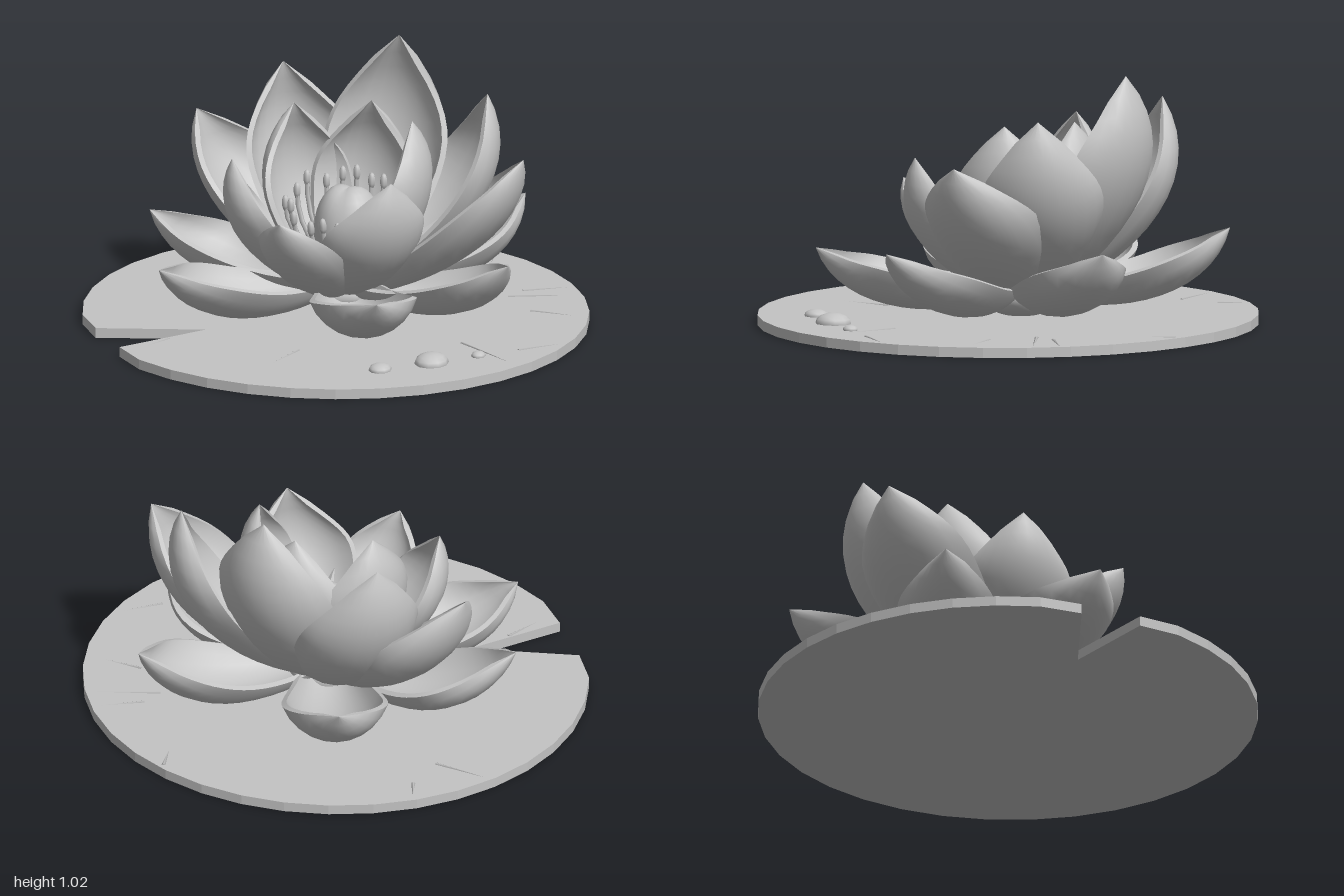
import * as THREE from 'three';
import { mergeGeometries } from 'three/addons/utils/BufferGeometryUtils.js';

const V = (x, y, z) => new THREE.Vector3(x, y, z);
const grey = new THREE.MeshStandardMaterial({ color: 0xc4c4c4 });
grey.name = 'stone grey';

function add(parent, name, geometry) {
  const mesh = new THREE.Mesh(geometry, grey);
  mesh.name = name;
  parent.add(mesh);
  return mesh;
}

// Smooth surface patch through fn(u, v), with u and v from 0 to 1
function patch(nu, nv, fn) {
  const pos = [], index = [];
  for (let i = 0; i <= nu; i++) for (let j = 0; j <= nv; j++) {
    pos.push(...fn(i / nu, j / nv).toArray());
    if (i < nu && j < nv) {
      const a = i * (nv + 1) + j, b = a + nv + 1;
      index.push(a, a + 1, b, a + 1, b + 1, b);
    }
  }
  const g = new THREE.BufferGeometry();
  g.setAttribute('position', new THREE.Float32BufferAttribute(pos, 3));
  g.setIndex(index);
  g.computeVertexNormals();
  return g;
}

// Cupped, pointed petal: a bowed spine from the flower's heart to the tip;
// sway moves the middle of the petal along z
const heart = V(0, 0.1, -0.06);
function petalGeometry(tip, halfWidth, bow, cup, baseRadius, sway) {
  const radial = V(tip.x - heart.x, 0, tip.z - heart.z).normalize();
  const base = heart.clone().addScaledVector(radial, baseRadius);
  const side = radial.clone().cross(V(0, 1, 0));
  const out = tip.clone().sub(base).cross(side).normalize();
  const ctrl = (f, b) => base.clone().lerp(tip, f).addScaledVector(out, b).add(V(0, 0, sway));
  const spine = new THREE.CubicBezierCurve3(base, ctrl(0.33, bow), ctrl(0.8, bow * 1.25), tip);
  const thick = 0.022;
  // s runs across from -1 to 1, d goes from the outer to the inner skin
  const point = (t, s, d) => {
    const inward = side.clone().cross(spine.getTangent(t)).normalize();
    const w = t > 0.999 ? 0 : halfWidth * Math.pow(Math.sin(Math.PI * (0.15 + 0.85 * Math.pow(t, 1.3))), 0.68);
    const k = d * thick;
    const r = w / Math.sin(cup), a = s * cup, inner = Math.max(r - k, 0);
    return spine.getPoint(t)
      .addScaledVector(side, inner * Math.sin(a))
      .addScaledVector(inward, r - inner * Math.cos(a));
  };
  return mergeGeometries([
    patch(14, 10, (t, v) => point(t, 2 * v - 1, 1)),
    patch(14, 10, (t, v) => point(t, 1 - 2 * v, 0)),
    patch(14, 1, (t, v) => point(t, 1, 1 - v)),
    patch(14, 1, (t, v) => point(t, -1, v)),
  ]);
}

function createPad() {
  const pad = new THREE.Group();
  pad.name = 'lilyPad';
  // Disc with a wedge-shaped notch
  const shape = new THREE.Shape();
  shape.moveTo(-0.35, -0.44);
  const from = 139.7, to = 484.5, n = 34;
  for (let i = 0; i <= n; i++) {
    const a = THREE.MathUtils.degToRad(from + (to - from) * i / n);
    const r = i === 0 || i === n ? 0.975 : 1;
    shape.lineTo(r * Math.cos(a), -r * 0.98 * Math.sin(a));
  }
  shape.closePath();
  const disc = new THREE.ExtrudeGeometry(shape, { depth: 0.04, bevelEnabled: false });
  add(pad, 'padDisc', disc.rotateX(-Math.PI / 2));

  // Fine creases: x, z of the inner end, then of the outer end
  const creases = [
    [0.09, 0.5, 0.07, 0.73], [0.86, 0.11, 0.97, -0.03], [0.52, -0.47, 0.75, -0.6],
    [0.54, -0.56, 0.68, -0.68], [0.62, 0.13, 0.89, 0.26], [0.23, -0.93, 0.27, -0.82],
    [-0.68, -0.37, -0.9, -0.36], [-0.68, -0.54, -0.73, -0.63], [-0.43, 0.6, -0.47, 0.74],
    [0.68, -0.35, 0.85, -0.37],
  ];
  for (const [x1, z1, x2, z2] of creases) {
    const g = new THREE.ConeGeometry(0.008, Math.hypot(x2 - x1, z2 - z1), 4);
    g.rotateZ(-Math.PI / 2).scale(1, 0.6, 1);
    const m = add(pad, 'padCrease', g);
    m.position.set((x1 + x2) / 2, 0.04, (z1 + z2) / 2);
    m.rotation.y = -Math.atan2(z2 - z1, x2 - x1);
  }

  // Water drops
  for (const [x, z, r, h] of [[0.63, 0.41, 0.067, 0.04], [0.49, 0.58, 0.045, 0.025], [0.755, 0.25, 0.028, 0.018]]) {
    const m = add(pad, 'waterDrop', new THREE.SphereGeometry(1, 10, 8).scale(r, h, r * 1.1));
    m.position.set(x, 0.043, z);
  }
  return pad;
}

function createCentre() {
  const centre = new THREE.Group();
  centre.name = 'flowerCentre';
  // Base that joins the petals to the pad
  add(centre, 'flowerBase', new THREE.SphereGeometry(1, 16, 10).scale(0.16, 0.09, 0.16)).position.set(0, 0.12, -0.06);

  // Seed pod with a cleft at its back
  const pod = new THREE.SphereGeometry(1, 24, 16).scale(0.14, 0.2, 0.125);
  const p = pod.attributes.position;
  for (let i = 0; i < p.count; i++) {
    const x = p.getX(i), y = p.getY(i), z = p.getZ(i);
    const cleft = Math.max(0, 1 - Math.abs(x) / 0.06);
    if (z < 0) p.setZ(i, z * (1 - 0.3 * cleft));
    if (y > 0) p.setY(i, y * (1 - 0.1 * cleft));
  }
  pod.computeVertexNormals();
  add(centre, 'seedPod', pod).position.set(0, 0.34, -0.11);

  // Ring of stamens, taller towards the back
  const count = 20;
  for (let i = 0; i < count; i++) {
    const a = (i + 0.5) / count * Math.PI * 2, c = Math.cos(a), s = Math.sin(a);
    const r = 0.16 + 0.08 * Math.abs(c) + (i % 2) * 0.02;
    const end = V(r * c, 0.44 - 0.07 * s + (i % 3) * 0.015, -0.1 + r * 0.8 * s);
    const curve = new THREE.QuadraticBezierCurve3(V(0.09 * c, 0.2, -0.1 + 0.09 * s), V(r * c, 0.3, -0.1 + r * 0.75 * s), end);
    add(centre, 'stamen', new THREE.TubeGeometry(curve, 5, 0.01, 5));
    const anther = add(centre, 'anther', new THREE.SphereGeometry(1, 6, 5).scale(0.016, 0.034, 0.016));
    anther.position.copy(end);
    anther.quaternion.setFromUnitVectors(V(0, 1, 0), curve.getTangent(1));
  }
  return centre;
}

export function createModel() {
  const model = new THREE.Group();
  model.name = 'waterLily';
  model.add(createPad(), createCentre());

  // Petals: name, tip, half width, bow, cup angle, base radius, sway
  const petals = [
    ['outerSidePetal', [0.79, 0.36, 0.06], 0.2, 0.18, 1.2, 0.1, -0.09],
    ['outerFrontPetal', [0.48, 0.31, 0.59], 0.21, 0.165, 1.25, 0.1, 0],
    ['outerBackPetal', [0.46, 0.38, -0.74], 0.21, 0.18, 1.2, 0.1, 0],
    ['middleBackPetal', [0, 1.02, -0.55], 0.27, 0.26, 1.1, 0.08, 0],
    ['middleBackSidePetal', [0.45, 0.88, -0.43], 0.25, 0.23, 1.15, 0.08, -0.05],
    ['middleSidePetal', [0.72, 0.71, -0.21], 0.25, 0.18, 1.15, 0.08, -0.05],
    ['middleFrontSidePetal', [0.35, 0.68, 0.21], 0.22, 0.18, 1.15, 0.06, 0.02],
    ['middleFrontPetal', [0, 0.54, 0.49], 0.18, 0.12, 1.1, 0.08, 0],
    ['innerSidePetal', [0.26, 0.82, -0.15], 0.23, 0.19, 1.15, 0.05, 0],
    ['innerBackPetal', [0, 0.82, -0.31], 0.23, 0.19, 1.1, 0.05, 0],
  ];
  for (const [name, [x, y, z], ...rest] of petals) {
    for (const side of x ? [1, -1] : [1]) add(model, name, petalGeometry(V(x * side, y, z), ...rest));
  }
  return model;
}
